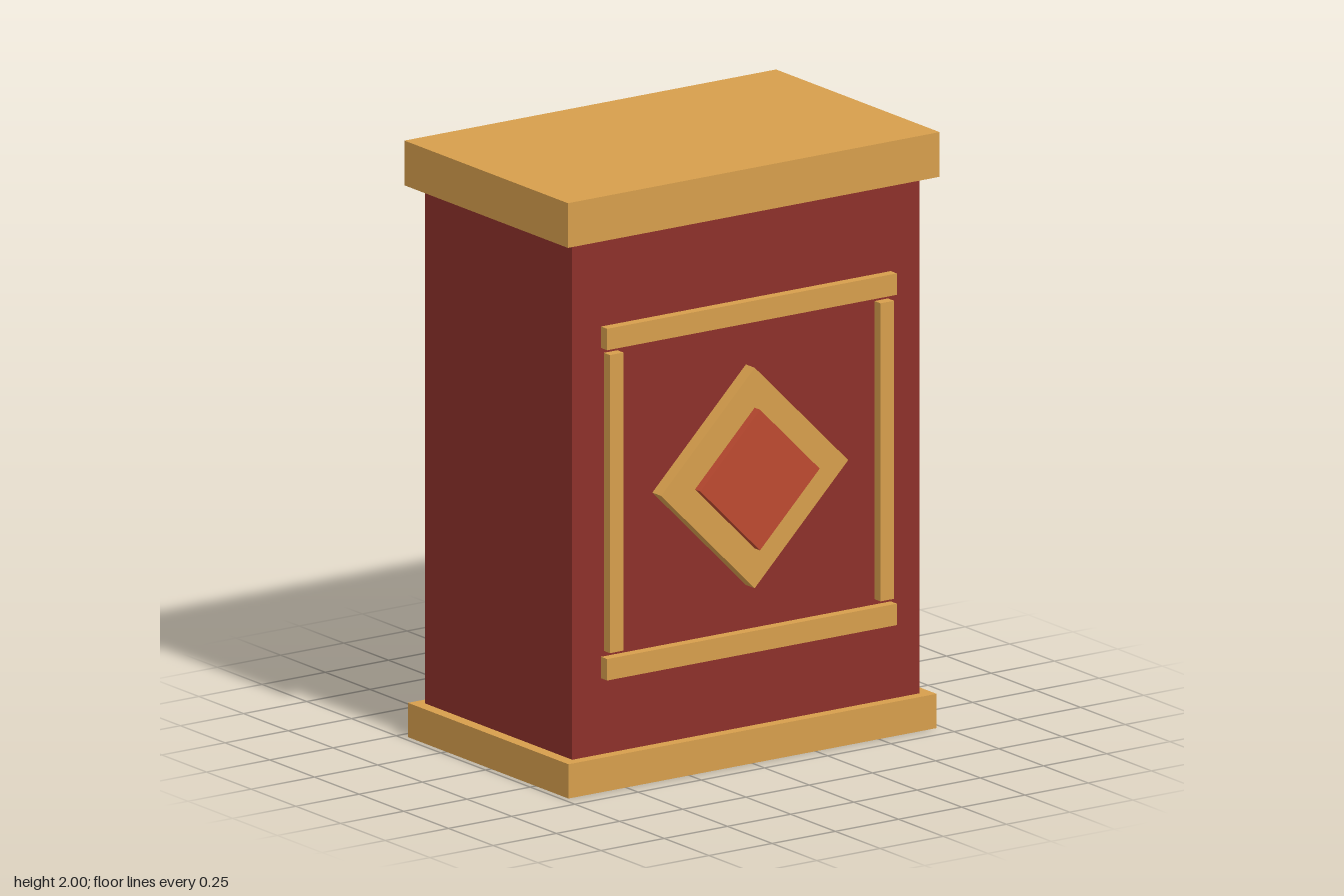
import * as THREE from 'three';

const gold = new THREE.MeshStandardMaterial({ color: 0xd69e4c });
const red = new THREE.MeshStandardMaterial({ color: 0x8c302a });
const accent = new THREE.MeshStandardMaterial({ color: 0xbc4a30 });

export function createModel() {
  const group = new THREE.Group();

  // Box given by its lower and upper limits on each axis
  function box(name, material, [x0, x1], [y0, y1], [z0, z1]) {
    const mesh = new THREE.Mesh(new THREE.BoxGeometry(x1 - x0, y1 - y0, z1 - z0), material);
    mesh.position.set((x0 + x1) / 2, (y0 + y1) / 2, (z0 + z1) / 2);
    mesh.name = name;
    group.add(mesh);
    return mesh;
  }

  // Cabinet body between base and top slab
  box('body', red, [-0.687, 0.687], [0.115, 1.85], [-0.427, 0.396]);
  box('base', gold, [-0.728, 0.728], [0, 0.115], [-0.465, 0.433]);
  box('topSlab', gold, [-0.735, 0.735], [1.85, 2], [-0.475, 0.44]);

  // Raised frame on the front
  const frameZ = [0.39, 0.43];
  box('upperRail', gold, [-0.573, 0.573], [1.478, 1.55], frameZ);
  box('lowerRail', gold, [-0.573, 0.573], [0.37, 0.442], frameZ);
  box('leftStile', gold, [0.508, 0.562], [0.46, 1.46], frameZ);
  box('rightStile', gold, [-0.562, -0.508], [0.46, 1.46], frameZ);

  // Stacked diamonds: squares turned by 45 degrees
  function diamond(name, material, halfDiagonal, z) {
    const h = halfDiagonal / Math.SQRT2;
    box(name, material, [-h, h], [0.96 - h, 0.96 + h], z).rotation.z = Math.PI / 4;
  }
  diamond('outerDiamond', gold, 0.37, [0.39, 0.445]);
  diamond('innerDiamond', accent, 0.236, [0.42, 0.475]);

  return group;
}
